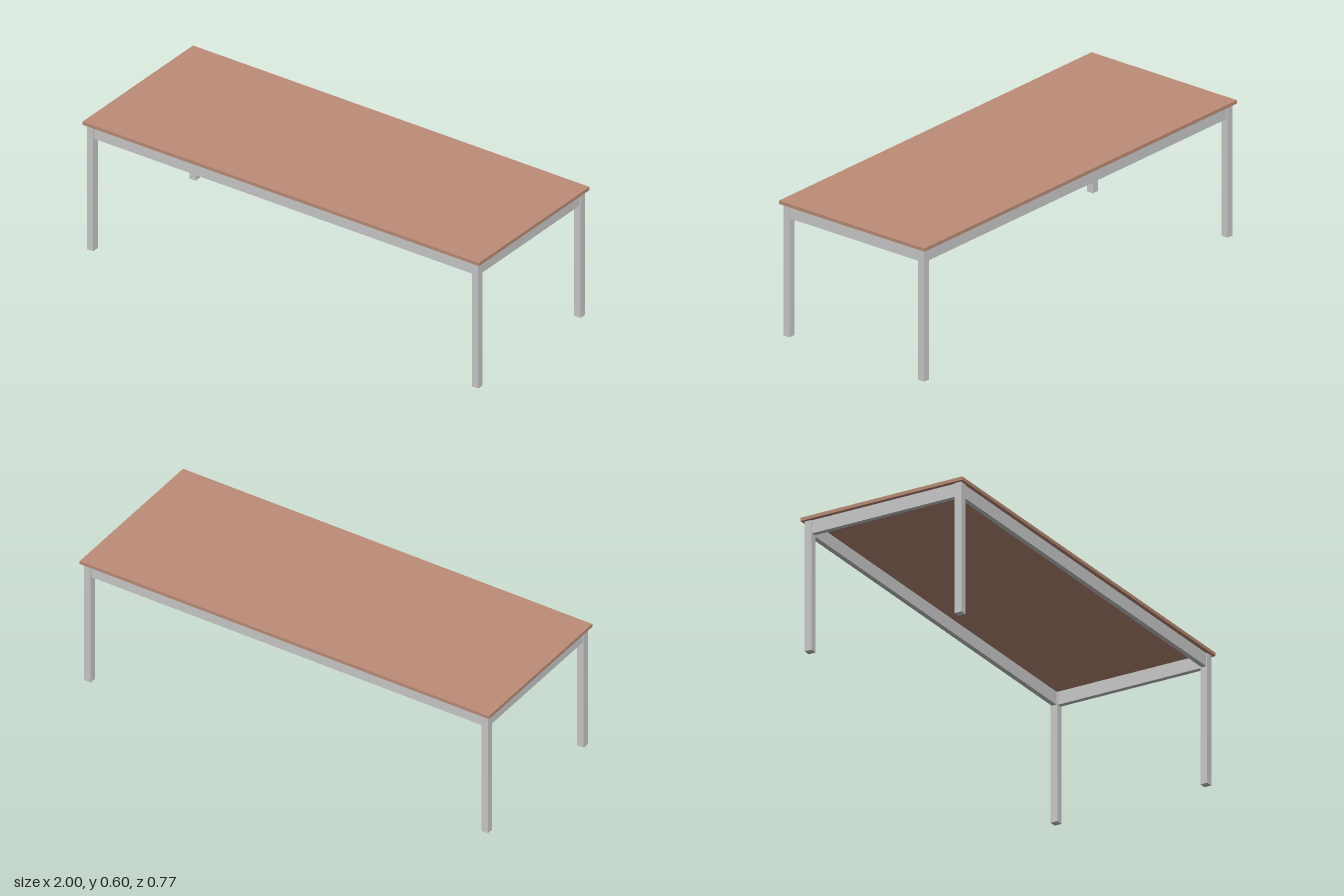
import * as THREE from 'three';

const TOP_Y = 0.602, UNDER_Y = 0.587; // table top faces
const LEG = 0.032, LEG_X = 0.971, LEG_Z = 0.359; // leg width and centre lines
const APRON_H = 0.059, APRON_T = 0.022;

export function createModel() {
  const table = new THREE.Group();
  table.name = 'table';
  const metal = new THREE.MeshStandardMaterial({ color: 0xcccccc });
  const wood = new THREE.MeshStandardMaterial({ color: 0xbc8d77 });

  // Box standing on height y
  function box(name, material, [w, h, d], [x, y, z]) {
    const mesh = new THREE.Mesh(new THREE.BoxGeometry(w, h, d), material);
    mesh.name = name;
    mesh.position.set(x, y + h / 2, z);
    table.add(mesh);
  }

  box('tableTop', wood, [2, TOP_Y - UNDER_Y, 0.775], [0, UNDER_Y, 0]);

  // Four square legs
  for (const sx of [-1, 1]) {
    for (const sz of [-1, 1]) {
      const name = (sz > 0 ? 'front' : 'back') + (sx > 0 ? 'Left' : 'Right') + 'Leg';
      box(name, metal, [LEG, UNDER_Y, LEG], [sx * LEG_X, 0, sz * LEG_Z]);
    }
  }

  // Aprons running between the legs, just below the top
  const apronY = UNDER_Y - APRON_H;
  for (const s of [-1, 1]) {
    box(s > 0 ? 'frontApron' : 'backApron', metal,
      [2 * LEG_X - LEG, APRON_H, APRON_T], [0, apronY, s * LEG_Z]);
    box(s > 0 ? 'leftApron' : 'rightApron', metal,
      [APRON_T, APRON_H, 2 * LEG_Z - LEG], [s * LEG_X, apronY, 0]);
  }
  return table;
}
